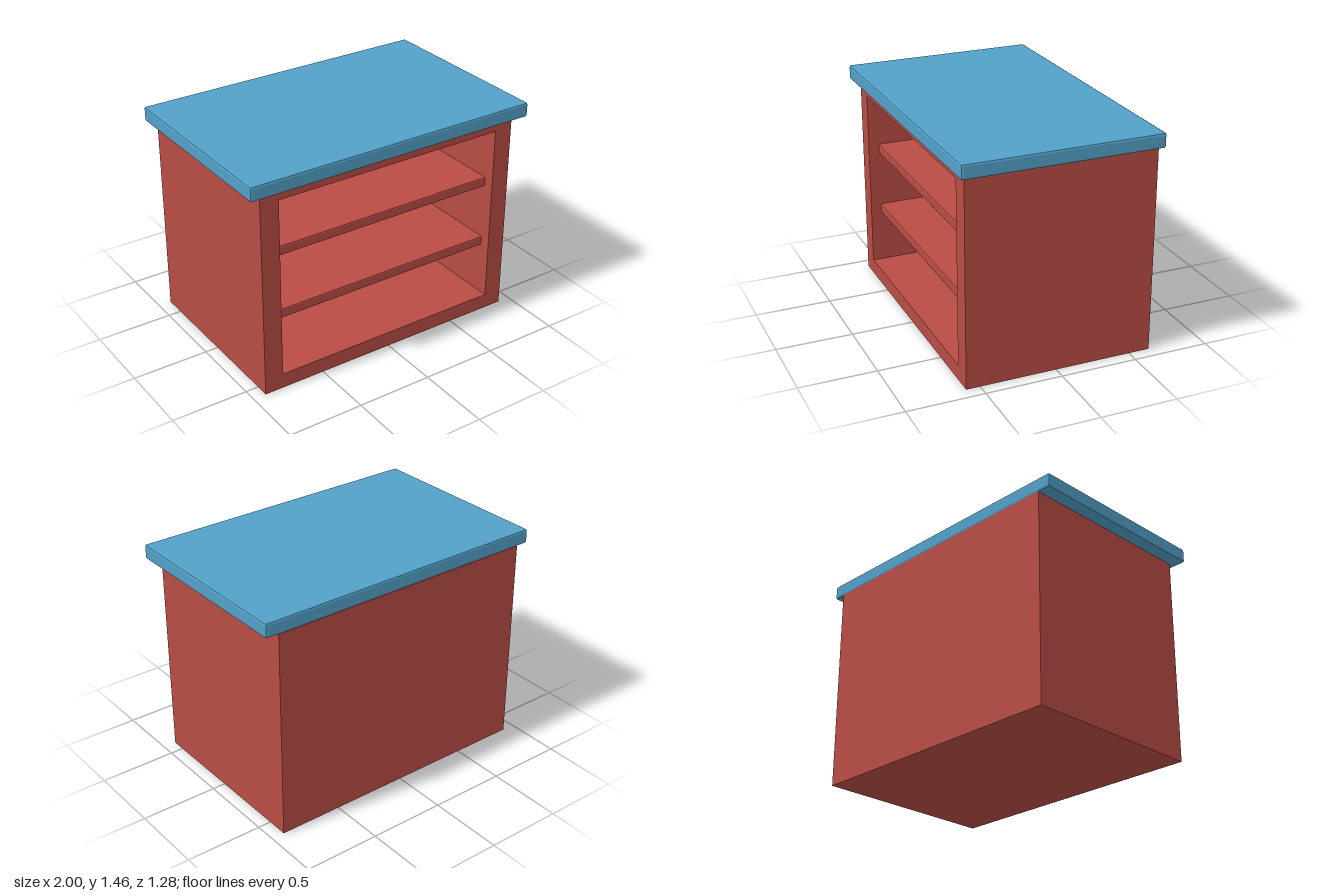
import * as THREE from 'three';
import { RoundedBoxGeometry } from 'three/addons/geometries/RoundedBoxGeometry.js';

const red = new THREE.MeshStandardMaterial({ color: 0xb84c45, flatShading: true });
const blue = new THREE.MeshStandardMaterial({ color: 0x52a0c8, flatShading: true });

// Traces a rectangle counter-clockwise
function rectangle(path, x0, y0, x1, y1) {
  path.moveTo(x0, y0);
  path.lineTo(x1, y0);
  path.lineTo(x1, y1);
  path.lineTo(x0, y1);
  path.closePath();
  return path;
}

export function createModel() {
  const model = new THREE.Group();
  model.name = 'openCabinet';

  const add = (name, geometry, material, x, y, z) => {
    const mesh = new THREE.Mesh(geometry, material);
    mesh.name = name;
    mesh.position.set(x, y, z);
    model.add(mesh);
  };

  const front = 0.59, back = -0.64, backThickness = 0.1;
  const innerBack = back + backThickness;

  // Carcass: side walls, floor and ceiling as one frame around the opening
  const frame = rectangle(new THREE.Shape(), -0.915, 0, 0.915, 1.37);
  frame.holes.push(rectangle(new THREE.Path(), -0.79, 0.1, 0.79, 1.3));
  add('carcass', new THREE.ExtrudeGeometry(frame, { depth: front - innerBack, bevelEnabled: false }),
    red, 0, 0, innerBack);

  // Back panel closing the carcass
  add('backPanel', new THREE.BoxGeometry(1.83, 1.37, backThickness),
    red, 0, 0.685, back + backThickness / 2);

  // Two shelves, set back a little from the front and let into the walls
  const shelfFront = 0.52, shelfBack = innerBack - 0.02;
  [['lowerShelf', 0.482], ['upperShelf', 0.918]].forEach(([name, y]) => {
    add(name, new RoundedBoxGeometry(1.62, 0.065, shelfFront - shelfBack, 1, 0.01),
      red, 0, y, (shelfFront + shelfBack) / 2);
  });

  // Overhanging worktop with a narrow chamfer, flush with the back
  add('worktop', new RoundedBoxGeometry(2, 0.095, 1.28, 1, 0.013), blue, 0, 1.4145, 0);

  return model;
}
